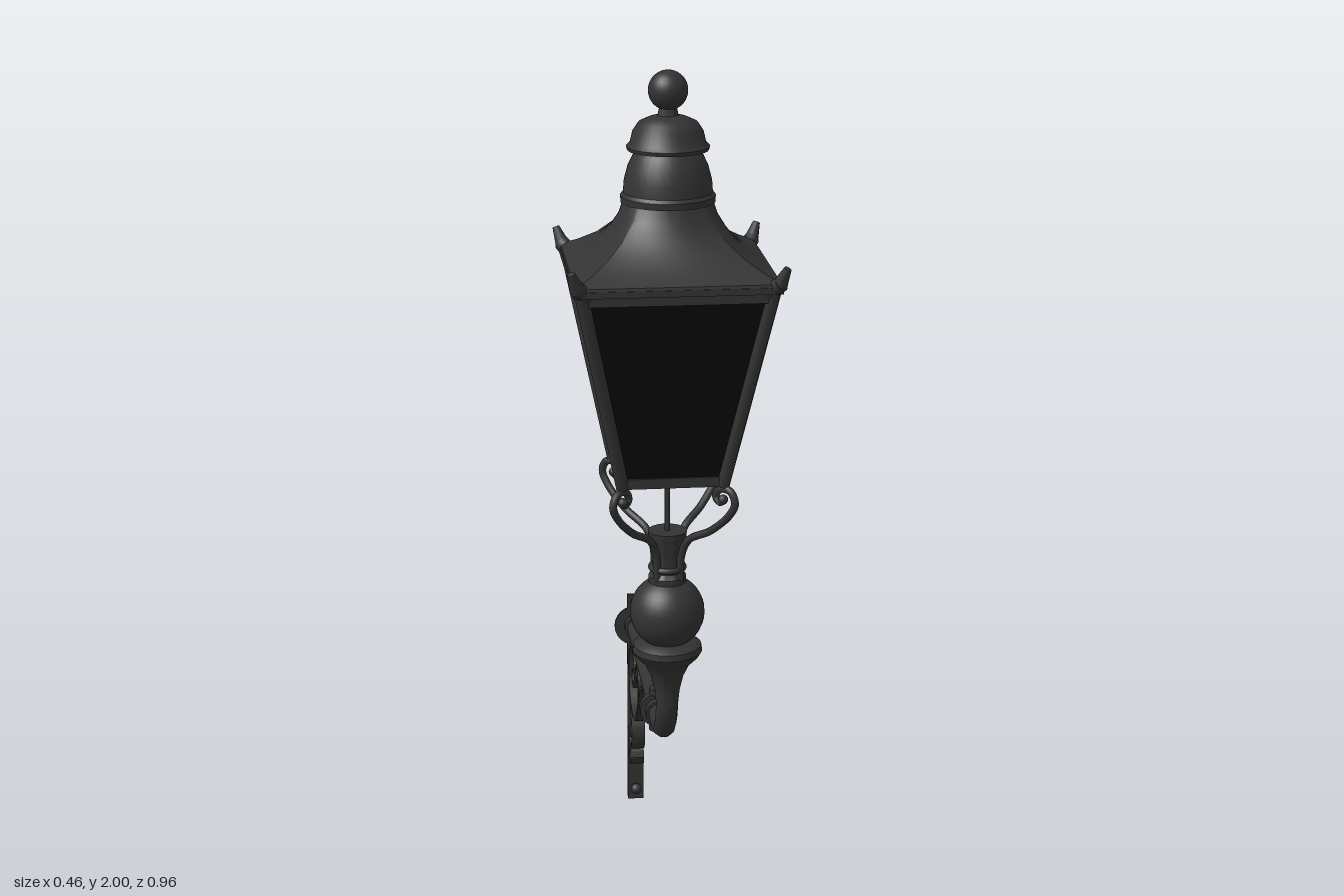
import * as THREE from 'three';
import { toCreasedNormals } from 'three/addons/utils/BufferGeometryUtils.js';

export function createModel() {
  const model = new THREE.Group();
  const iron = new THREE.MeshStandardMaterial({ color: 0x333333 });
  iron.name = 'dark iron';
  const glass = new THREE.MeshStandardMaterial({ color: 0x0a0a0a, side: THREE.DoubleSide });
  glass.name = 'black glass';

  const add = (name, geo, parent = model, mat = iron) => {
    const mesh = new THREE.Mesh(geo, mat);
    mesh.name = name;
    parent.add(mesh);
    return mesh;
  };
  const V = (x, y, z) => new THREE.Vector3(x, y, z);
  const turned = (pts, seg = 32) => toCreasedNormals(
    new THREE.LatheGeometry(pts.map(([r, y]) => new THREE.Vector2(r, y)), seg), 0.6);
  const tube = (pts, r, n = 40) => new THREE.TubeGeometry(new THREE.CatmullRomCurve3(pts), n, r, 10);
  // Straight bar between two points
  const bar = (name, a, b, r0, r1, sides, parent) => {
    const mesh = add(name, new THREE.CylinderGeometry(r1, r0, a.distanceTo(b), sides), parent);
    mesh.position.copy(a).add(b).multiplyScalar(0.5);
    mesh.quaternion.setFromUnitVectors(V(0, 1, 0), b.clone().sub(a).normalize());
    return mesh;
  };
  // Disc or collar around the horizontal arm
  const collar = (name, r, len, z, y = 0.48) => {
    const mesh = add(name, new THREE.CylinderGeometry(r, r, len, 24));
    mesh.rotation.x = Math.PI / 2;
    mesh.position.set(0, y, z);
    return mesh;
  };

  // ---- Lantern and post, standing around one vertical axis ----
  const lamp = new THREE.Group();
  lamp.name = 'lamp';
  lamp.position.z = 0.25;
  model.add(lamp);

  // Bell, ball and socket of the post
  add('bell', turned([[0.025, 0.58], [0.028, 0.61], [0.036, 0.645], [0.05, 0.675], [0.07, 0.695], [0.078, 0.708],
    [0.076, 0.722], [0.06, 0.733], [0, 0.735]]), lamp);
  add('postBall', new THREE.SphereGeometry(0.083, 32, 20), lamp).position.y = 0.8;
  add('socket', turned([[0.03, 0.86], [0.042, 0.872], [0.042, 0.885], [0.033, 0.895], [0.033, 0.94], [0.042, 0.975],
    [0.043, 0.99], [0, 0.99]]), lamp);
  const band = add('socketBand', new THREE.TorusGeometry(0.036, 0.007, 8, 28), lamp);
  band.rotation.x = Math.PI / 2;
  band.position.y = 0.905;
  bar('gasPipe', V(0, 0.97, 0), V(0, 1.15, 0), 0.006, 0.006, 10, lamp);

  // Square glazed body
  const panes = new THREE.CylinderGeometry(0.198 * Math.SQRT2, 0.108 * Math.SQRT2, 0.43, 4, 1, true).toNonIndexed();
  panes.computeVertexNormals();
  panes.rotateY(Math.PI / 4);
  add('glassPanes', panes, lamp, glass).position.y = 1.35;
  const floor = add('glassFloor', new THREE.BoxGeometry(0.21, 0.006, 0.21), lamp, glass);
  floor.position.y = 1.14;

  // Corner bars, horns, scroll brackets and rails, one set per side
  const stay = [[0.026, 0.88], [0.028, 0.94], [0.042, 0.98], [0.085, 1.015], [0.12, 1.06], [0.131, 1.09],
    [0.122, 1.115], [0.102, 1.115], [0.094, 1.097], [0.103, 1.085], [0.11, 1.093]];
  for (let i = 0; i < 4; i++) {
    const side = new THREE.Group();
    side.name = 'lanternSide' + (i + 1);
    side.rotation.y = i * Math.PI / 2;
    lamp.add(side);
    bar('cornerBar', V(0.108, 1.125, 0.108), V(0.2, 1.575, 0.2), 0.014, 0.014, 8, side);
    bar('cornerHorn', V(0.19, 1.568, 0.19), V(0.211, 1.592, 0.211), 0.019, 0.017, 10, side);
    bar('hornTip', V(0.207, 1.585, 0.207), V(0.222, 1.625, 0.222), 0.017, 0.008, 10, side);
    add('scrollStay', tube(stay.map(([a, y]) => V(a, y, a)), 0.0085, 60), side);
    add('stayCurl', new THREE.SphereGeometry(0.011, 12, 8), side).position.set(0.108, 1.093, 0.108);
    add('bottomRail', new THREE.BoxGeometry(0.23, 0.022, 0.018), side).position.set(0, 1.136, 0.107);
    add('topRail', new THREE.BoxGeometry(0.41, 0.022, 0.018), side).position.set(0, 1.56, 0.196);
    add('eaves', new THREE.BoxGeometry(0.432, 0.014, 0.03), side).position.set(0, 1.577, 0.201);
  }

  // Concave roof blending from a square to a circle
  const profile = [[0.216, 1.578], [0.213, 1.59], [0.185, 1.607], [0.153, 1.632], [0.125, 1.665],
    [0.105, 1.697], [0.094, 1.73]];
  const roof = new THREE.LatheGeometry(profile.map(([r, y]) => new THREE.Vector2(r, y)), 64);
  const p = roof.attributes.position;
  for (let i = 0; i < p.count; i++) {
    const x = p.getX(i), z = p.getZ(i);
    const square = Math.hypot(x, z) / Math.max(Math.abs(x), Math.abs(z));
    const t = Math.min(1, Math.max(0, (p.getY(i) - 1.59) / 0.13));
    const k = THREE.MathUtils.lerp(square, 1, t);
    p.setXYZ(i, x * k, p.getY(i), z * k);
  }
  roof.computeVertexNormals();
  add('roof', toCreasedNormals(roof, 0.5), lamp);
  const ceiling = add('ceiling', new THREE.BoxGeometry(0.39, 0.006, 0.39), lamp);
  ceiling.position.y = 1.572;

  // Two-tier ventilator with finial
  add('lowerVent', turned([[0.06, 1.722], [0.1, 1.724], [0.101, 1.738], [0.095, 1.745], [0.093, 1.77], [0.085, 1.8],
    [0.073, 1.825], [0.06, 1.838], [0.055, 1.86]]), lamp);
  add('upperVent', turned([[0.04, 1.836], [0.086, 1.834], [0.088, 1.842], [0.08, 1.85], [0.075, 1.872], [0.062, 1.892],
    [0.04, 1.902], [0.022, 1.906], [0.018, 1.925]]), lamp);
  add('finial', new THREE.SphereGeometry(0.042, 28, 18), lamp).position.y = 1.958;

  // ---- Arm and wall fixing ----
  const bend = [V(0, 0.63, 0.25)];
  for (let i = 0; i <= 8; i++) {
    const a = i / 8 * Math.PI / 2;
    bend.push(V(0, 0.595 - 0.115 * Math.sin(a), 0.135 + 0.115 * Math.cos(a)));
  }
  bend.push(V(0, 0.48, 0.06));
  add('elbow', tube(bend, 0.025));
  bar('arm', V(0, 0.48, 0.07), V(0, 0.48, -0.472), 0.022, 0.022, 20);
  collar('jointSleeve', 0.03, 0.062, 0.055);
  collar('jointFlange', 0.042, 0.02, 0.055);
  for (const s of [-1, 1]) {
    const nut = add('jointNut', new THREE.CylinderGeometry(0.02, 0.02, 0.014, 12));
    nut.position.set(0, 0.48 + s * 0.045, 0.055);
  }
  collar('wallFlange', 0.052, 0.007, -0.4745);
  collar('wallBoss', 0.028, 0.018, -0.463);
  add('wallStrip', new THREE.BoxGeometry(0.04, 0.565, 0.007)).position.set(0, 0.2825, -0.4745);
  for (const y of [0.035, 0.547]) {
    collar('boltShank', 0.009, 0.02, -0.463, y);
    add('boltHead', new THREE.SphereGeometry(0.014, 14, 10)).position.set(0, y, -0.455);
  }

  // ---- Flat scrollwork below the arm, drawn as (z, y) paths ----
  const ribbon = (name, pts, closed = false) => {
    const curve = new THREE.CatmullRomCurve3(pts.map(([z, y]) => V(z, y, 0)), closed);
    const n = pts.length * 6, left = [], right = [];
    for (let i = 0; i <= n; i++) {
      const c = curve.getPoint(i / n), t = curve.getTangent(i / n);
      left.push(new THREE.Vector2(c.x - t.y * 0.0045, c.y + t.x * 0.0045));
      right.unshift(new THREE.Vector2(c.x + t.y * 0.0045, c.y - t.x * 0.0045));
    }
    const geo = new THREE.ExtrudeGeometry(new THREE.Shape([...left, ...right]), { depth: 0.034, bevelEnabled: false });
    geo.translate(0, 0, -0.017);
    geo.rotateY(-Math.PI / 2);
    add(name, toCreasedNormals(geo, 0.6));
  };
  ribbon('mainScroll', [[-0.122, 0.42], [-0.13, 0.405], [-0.113, 0.395], [-0.095, 0.41], [-0.1, 0.434],
    [-0.13, 0.446], [-0.17, 0.438], [-0.205, 0.41], [-0.24, 0.365], [-0.28, 0.318], [-0.34, 0.281], [-0.4, 0.279],
    [-0.447, 0.31], [-0.469, 0.365], [-0.458, 0.42], [-0.415, 0.452], [-0.36, 0.442], [-0.333, 0.405],
    [-0.345, 0.37], [-0.375, 0.362], [-0.393, 0.385], [-0.38, 0.405]]);
  ribbon('upperScroll', [[-0.272, 0.425], [-0.277, 0.41], [-0.295, 0.415], [-0.3, 0.437], [-0.275, 0.45],
    [-0.25, 0.436], [-0.24, 0.4], [-0.25, 0.355], [-0.28, 0.318]]);
  ribbon('lowerScroll', [[-0.458, 0.325], [-0.45, 0.295], [-0.418, 0.26], [-0.4, 0.22], [-0.41, 0.18], [-0.44, 0.162],
    [-0.467, 0.177], [-0.466, 0.204], [-0.445, 0.208], [-0.435, 0.19]]);
  for (const [z, y] of [[-0.066, 0.43], [-0.447, 0.135]]) {
    const ring = [];
    for (let i = 0; i < 8; i++) ring.push([z + 0.019 * Math.cos(i * Math.PI / 4), y + 0.019 * Math.sin(i * Math.PI / 4)]);
    ring.push(ring[0]);
    ribbon('scrollRing', ring);
  }
  return model;
}
